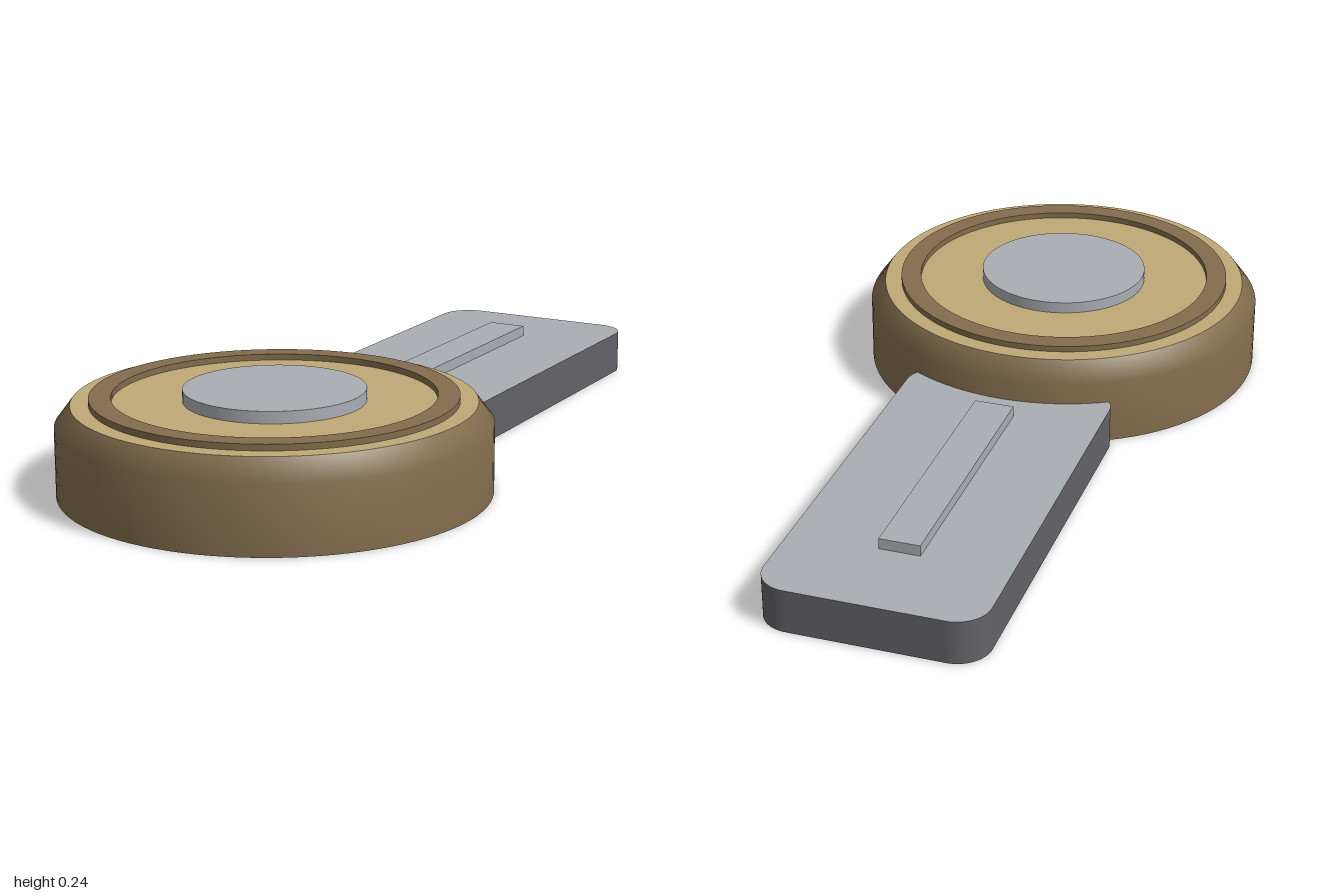
import * as THREE from 'three';

const mat = (name, color) => {
  const m = new THREE.MeshStandardMaterial({ color });
  m.name = name;
  return m;
};

export function createModel() {
  const gold = mat('pale gold', 0xbfa976);
  const bronze = mat('bronze', 0x836d4d);
  const silver = mat('silver', 0xaaadb2);
  const steel = mat('dark steel', 0x636267);
  const SEG = 96;
  const model = new THREE.Group();
  model.name = 'roundHeadWithHandle';

  const add = (parent, name, geometry, material, x = 0, y = 0, z = 0) => {
    const mesh = new THREE.Mesh(geometry, material);
    mesh.name = name;
    mesh.position.set(x, y, z);
    parent.add(mesh);
    return mesh;
  };
  // Solid of revolution from [radius, height] pairs
  const lathe = (pts) => new THREE.LatheGeometry(pts.map(([r, y]) => new THREE.Vector2(r, y)), SEG);

  // Round head: bronze wall with a softened shoulder, gold faces
  const head = new THREE.Group();
  head.name = 'head';
  head.position.z = 0.4875;
  model.add(head);
  add(head, 'headWall', lathe([[0.5125, 0], [0.5125, 0.165], [0.475, 0.215]]), bronze);
  add(head, 'headTop', new THREE.CircleGeometry(0.475, SEG).rotateX(-Math.PI / 2), gold, 0, 0.215);
  add(head, 'headBottom', new THREE.CircleGeometry(0.5125, SEG).rotateX(Math.PI / 2), gold);

  // Raised ring, extruded with a hole
  const ringShape = new THREE.Shape().absarc(0, 0, 0.432, 0, Math.PI * 2);
  ringShape.holes.push(new THREE.Path().absarc(0, 0, 0.38, 0, Math.PI * 2, true));
  const ring = new THREE.ExtrudeGeometry(ringShape, { depth: 0.02, bevelEnabled: false, curveSegments: SEG });
  add(head, 'raisedRing', ring.rotateX(-Math.PI / 2), bronze, 0, 0.21);

  // Centre button
  add(head, 'centreButton', new THREE.CylinderGeometry(0.215, 0.215, 0.033, SEG), silver, 0, 0.2275);

  // Handle: rounded slab with silver faces and dark edges
  const w = 0.268, z0 = -1, z1 = 0.08, r = 0.08;
  const slab = new THREE.Shape();
  slab.absarc(w - r, -z1 + r, r, -Math.PI / 2, 0);
  slab.absarc(w - r, -z0 - r, r, 0, Math.PI / 2);
  slab.absarc(-w + r, -z0 - r, r, Math.PI / 2, Math.PI);
  slab.absarc(-w + r, -z1 + r, r, Math.PI, Math.PI * 1.5);
  const slabGeo = new THREE.ExtrudeGeometry(slab, { depth: 0.109, bevelEnabled: false, curveSegments: 12 });
  add(model, 'handle', slabGeo.rotateX(-Math.PI / 2), [silver, steel], 0, 0.001);

  // Raised bar along the handle
  add(model, 'handleBar', new THREE.BoxGeometry(0.1, 0.035, 0.675), silver, 0, 0.1195, -0.4375);

  return model;
}
